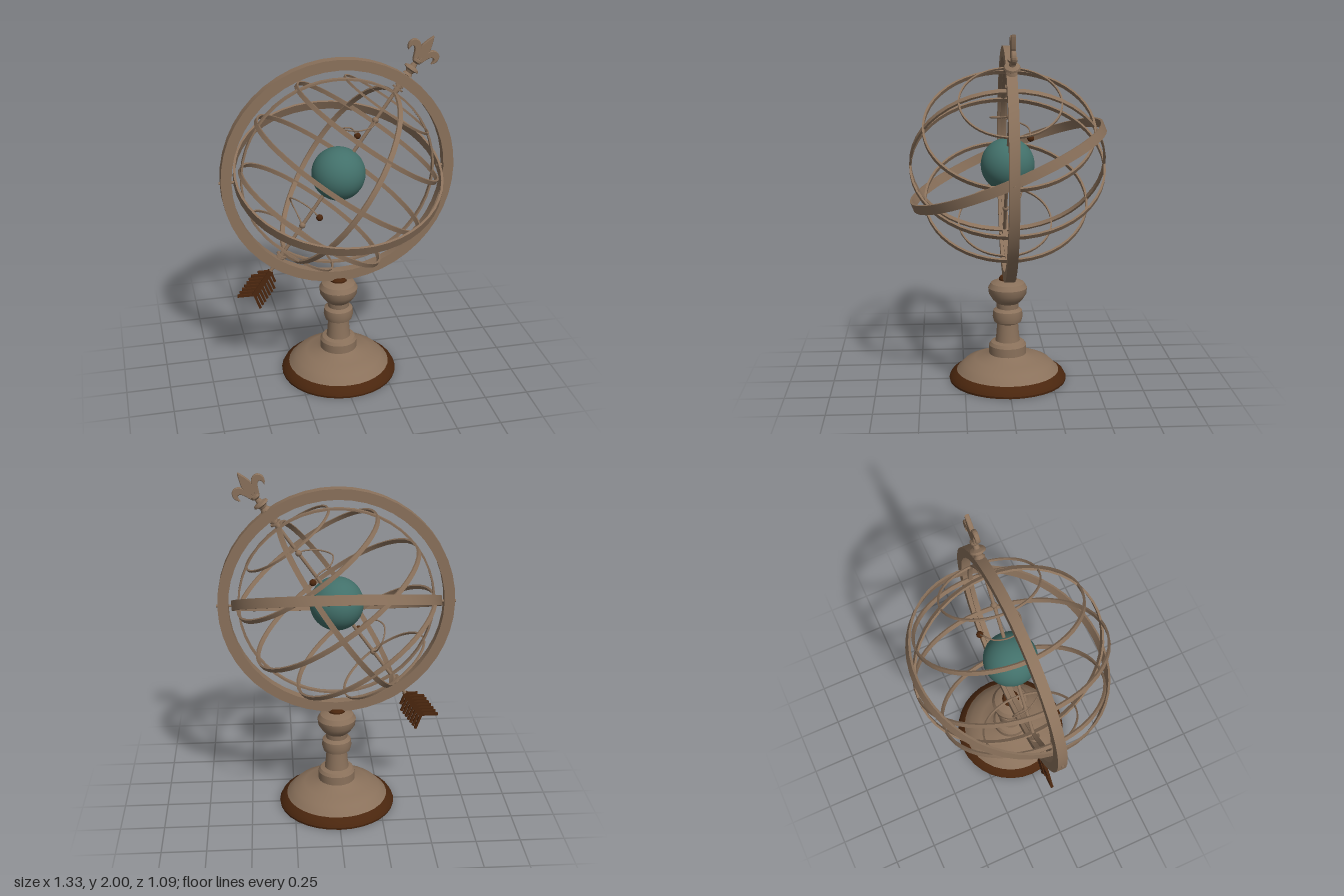
import * as THREE from 'three';
import { toCreasedNormals } from 'three/addons/utils/BufferGeometryUtils.js';

const CENTRE_Y = 1.253;
const TILT = -0.611;

export function createModel() {
  const model = new THREE.Group();
  model.name = 'armillarySphere';

  const mat = (name, color) => {
    const m = new THREE.MeshStandardMaterial({ color });
    m.name = name;
    return m;
  };
  const bronze = mat('bronze', 0x8a715b);
  const darkWood = mat('darkWood', 0x4a260e);
  const teal = mat('teal', 0x42706a);

  const add = (parent, name, geometry, material) => {
    const mesh = new THREE.Mesh(geometry, material);
    mesh.name = name;
    parent.add(mesh);
    return mesh;
  };
  const lathe = (points, segments = 32, crease = 0.6) =>
    toCreasedNormals(new THREE.LatheGeometry(points.map(([x, y]) => new THREE.Vector2(x, y)), segments), crease);
  // Flat hoop around the y axis with a rectangular section
  const hoop = (outer, inner, width, segments = 48) => {
    const h = width / 2;
    return lathe([[outer, -h], [outer, h], [inner, h], [inner, -h], [outer, -h]], segments);
  };

  // Pedestal
  add(model, 'baseRim', lathe([[0, 0], [0.335, 0], [0.337, 0.012], [0.325, 0.035], [0.295, 0.056], [0, 0.056]]), darkWood);
  add(model, 'pedestal', lathe([
    [0.295, 0.055], [0.28, 0.07], [0.25, 0.1], [0.19, 0.125], [0.13, 0.14], [0.107, 0.155],
    [0.107, 0.205], [0.095, 0.222], [0.07, 0.23], [0.065, 0.27], [0.06, 0.335],
    [0.078, 0.345], [0.086, 0.375], [0.082, 0.41], [0.062, 0.425], [0.064, 0.455],
    [0.085, 0.475], [0.107, 0.51], [0.111, 0.545], [0.095, 0.572], [0.055, 0.59], [0, 0.592],
  ]), bronze);
  add(model, 'ringSocket', lathe([[0, 0.585], [0.05, 0.585], [0.05, 0.6], [0.04, 0.612], [0, 0.612]], 20), darkWood);

  // Everything else is built around the sphere's centre
  const sphere = new THREE.Group();
  sphere.name = 'sphere';
  sphere.position.y = CENTRE_Y;
  model.add(sphere);

  add(sphere, 'globe', new THREE.SphereGeometry(0.15, 40, 28), teal);
  add(sphere, 'meridianRing', hoop(0.655, 0.596, 0.055), bronze).rotation.x = Math.PI / 2;
  add(sphere, 'eclipticBand', hoop(0.58, 0.567, 0.054), bronze).rotation.x = 0.395;
  for (const side of [-1, 1]) {
    const pin = add(sphere, 'pivotPin', new THREE.CylinderGeometry(0.008, 0.008, 0.1, 10), bronze);
    pin.rotation.z = Math.PI / 2;
    pin.position.x = side * 0.613;
  }

  // Tilted cage
  const cage = new THREE.Group();
  cage.name = 'tiltedCage';
  cage.rotation.z = TILT;
  sphere.add(cage);

  add(cage, 'equatorBand', hoop(0.546, 0.534, 0.025), bronze);
  add(cage, 'colureRing', hoop(0.546, 0.535, 0.025), bronze).rotation.x = Math.PI / 2;
  add(cage, 'crossColureRing', hoop(0.546, 0.534, 0.028), bronze).rotation.z = Math.PI / 2;
  for (const side of [-1, 1]) {
    add(cage, 'tropicBand', hoop(0.469, 0.457, 0.024), bronze).position.y = side * 0.28;
    add(cage, 'polarCircle', hoop(0.277, 0.268, 0.012), bronze).position.y = side * 0.465;
    // Stacked collars and the knob that carries the moon arm
    [[0.57, 0.032], [0.586, 0.024]].forEach(([y, r]) => {
      add(cage, 'axisCollar', new THREE.CylinderGeometry(r, r, 0.008, 16), bronze).position.y = side * y;
    });
    add(cage, 'axisSleeve', new THREE.CylinderGeometry(0.016, 0.016, 0.06, 12), bronze).position.y = side * 0.575;
    add(cage, 'armKnob', new THREE.SphereGeometry(0.018, 14, 10), bronze).position.y = side * 0.36;
  }
  add(cage, 'axisRod', new THREE.CylinderGeometry(0.01, 0.01, 1.58, 12), bronze).position.y = -0.06;

  // Lily finial: turned foot, centre petal and two curled side petals
  add(cage, 'finialFoot', lathe([
    [0, 0.655], [0.03, 0.66], [0.02, 0.675], [0.026, 0.688], [0.044, 0.697],
    [0.04, 0.707], [0.018, 0.715], [0.014, 0.735], [0.026, 0.745], [0.026, 0.758], [0, 0.765],
  ], 16), bronze);
  const petalOptions = { depth: 0.016, bevelEnabled: true, bevelSize: 0.003, bevelThickness: 0.004, bevelSegments: 1, curveSegments: 8 };
  const petal = (name, shape) => {
    const geometry = new THREE.ExtrudeGeometry(shape, petalOptions).translate(0, 0, -0.008);
    add(cage, name, geometry, bronze);
  };
  const centre = new THREE.Shape();
  centre.moveTo(0, 0.745);
  centre.bezierCurveTo(0.012, 0.79, 0.03, 0.81, 0.024, 0.84);
  centre.quadraticCurveTo(0.014, 0.875, 0, 0.905);
  centre.quadraticCurveTo(-0.014, 0.875, -0.024, 0.84);
  centre.bezierCurveTo(-0.03, 0.81, -0.012, 0.79, 0, 0.745);
  petal('centrePetal', centre);
  for (const s of [-1, 1]) {
    const curl = new THREE.Shape();
    curl.moveTo(s * 0.006, 0.75);
    curl.bezierCurveTo(s * 0.015, 0.81, s * 0.035, 0.85, s * 0.07, 0.845);
    curl.bezierCurveTo(s * 0.1, 0.838, s * 0.102, 0.8, s * 0.08, 0.78);
    curl.bezierCurveTo(s * 0.085, 0.8, s * 0.075, 0.815, s * 0.06, 0.81);
    curl.bezierCurveTo(s * 0.04, 0.8, s * 0.035, 0.77, s * 0.022, 0.748);
    petal('sidePetal', curl);
  }

  // Arrow fletching: swept barbs on both sides of the shaft
  const fletching = new THREE.Group();
  fletching.name = 'fletching';
  cage.add(fletching);
  add(fletching, 'quill', new THREE.BoxGeometry(0.03, 0.18, 0.024), darkWood).position.y = -0.775;
  for (let i = 0; i < 8; i++) {
    const length = i === 0 ? 0.07 : 0.095;
    for (const s of [-1, 1]) {
      const barb = add(fletching, 'barb', new THREE.BoxGeometry(length, 0.014, 0.016), darkWood);
      barb.rotation.z = -s * 0.6;
      barb.position.set(s * length * 0.42, -0.69 - i * 0.024 - length * 0.27, 0);
    }
  }

  // Curved wire arms, each ending in a small moon
  const arms = [
    [[0.207, 0.295, 0], [0.17, 0.285, 0.075], [0.09, 0.277, 0.1], [0.02, 0.268, 0.04], [0.04, 0.24, -0.06], [0.1, 0.215, -0.11], [0.135, 0.167, -0.117]],
    [[-0.207, -0.295, 0], [-0.22, -0.26, -0.07], [-0.25, -0.19, -0.095], [-0.265, -0.135, -0.03], [-0.235, -0.125, 0.04], [-0.18, -0.15, 0.1], [-0.132, -0.203, 0.117]],
  ];
  for (const path of arms) {
    const points = path.map((p) => new THREE.Vector3(...p));
    add(sphere, 'moonArm', new THREE.TubeGeometry(new THREE.CatmullRomCurve3(points), 40, 0.0045, 6), bronze);
    add(sphere, 'moon', new THREE.SphereGeometry(0.019, 16, 12), darkWood).position.copy(points[points.length - 1]);
  }

  return model;
}
